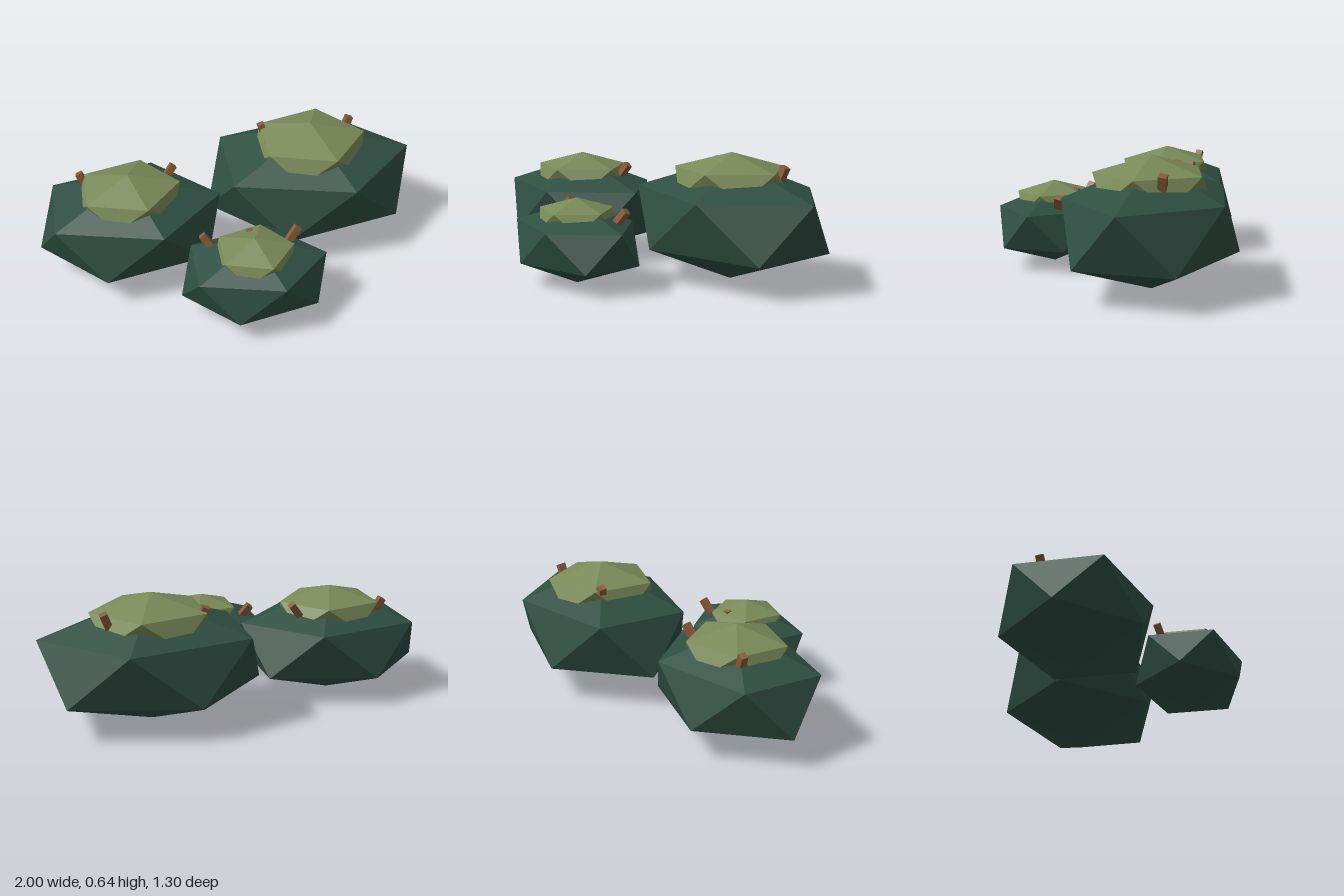
import * as THREE from 'three';

const flat = (name, color) => {
  const m = new THREE.MeshStandardMaterial({ color, flatShading: true });
  m.name = name;
  return m;
};

// Icosahedron standing on one corner, stretched to the given radii
function lump(name, material, radii, position) {
  const golden = (1 + Math.sqrt(5)) / 2;
  const geometry = new THREE.IcosahedronGeometry(1, 0);
  geometry.rotateZ(-Math.atan(1 / golden));
  geometry.scale(...radii);
  geometry.computeVertexNormals();
  const mesh = new THREE.Mesh(geometry, material);
  mesh.name = name;
  mesh.position.set(...position);
  return mesh;
}

// Square twig, its outer end at tip, leaning along direction
function twig(material, { tip, direction, width, length }) {
  const geometry = new THREE.BoxGeometry(width, length, width);
  geometry.translate(0, -length / 2, 0);
  const mesh = new THREE.Mesh(geometry, material);
  mesh.name = 'twig';
  mesh.position.set(...tip);
  mesh.quaternion.setFromUnitVectors(
    new THREE.Vector3(0, 1, 0), new THREE.Vector3(...direction).normalize());
  return mesh;
}

export function createModel() {
  const bodyGreen = flat('dark green', 0x2f4f43);
  const capGreen = flat('moss green', 0x7a8a58);
  const brown = flat('twig brown', 0x8a5c3a);

  const clumps = [
    {
      name: 'largeClump', x: 0.45, z: -0.264,
      body: [0.61, 0.307, 0.456], cap: [0.332, 0.145, 0.309], capY: 0.495,
      twigs: [
        { tip: [0.208, 0.582, -0.388], direction: [-0.35, 1, -0.15], width: 0.038, length: 0.085 },
        { tip: [0.695, 0.582, -0.388], direction: [0.4, 1, -0.15], width: 0.038, length: 0.085 },
      ],
    },
    {
      name: 'mediumClump', x: -0.53, z: -0.061,
      body: [0.526, 0.266, 0.4], cap: [0.296, 0.127, 0.267], capY: 0.428,
      twigs: [
        { tip: [-0.772, 0.502, -0.188], direction: [-0.5, 1, -0.15], width: 0.035, length: 0.085 },
        { tip: [-0.284, 0.502, -0.188], direction: [0.75, 1, -0.25], width: 0.035, length: 0.085 },
      ],
    },
    {
      name: 'smallClump', x: 0.043, z: 0.39,
      body: [0.405, 0.205, 0.306], cap: [0.221, 0.103, 0.209], capY: 0.325,
      twigs: [
        { tip: [-0.198, 0.381, 0.264], direction: [-0.75, 1, -0.3], width: 0.035, length: 0.085 },
        { tip: [0.284, 0.381, 0.27], direction: [0.75, 1, -0.3], width: 0.035, length: 0.085 },
        { tip: [0.04, 0.388, 0.268], direction: [0, 1, -0.15], width: 0.032, length: 0.08 },
      ],
    },
  ];

  const model = new THREE.Group();
  model.name = 'mossyClumps';
  for (const c of clumps) {
    const clump = new THREE.Group();
    clump.name = c.name;
    clump.add(lump('body', bodyGreen, c.body, [c.x, c.body[1], c.z]));
    clump.add(lump('mossCap', capGreen, c.cap, [c.x, c.capY, c.z]));
    for (const t of c.twigs) clump.add(twig(brown, t));
    model.add(clump);
  }
  return model;
}
